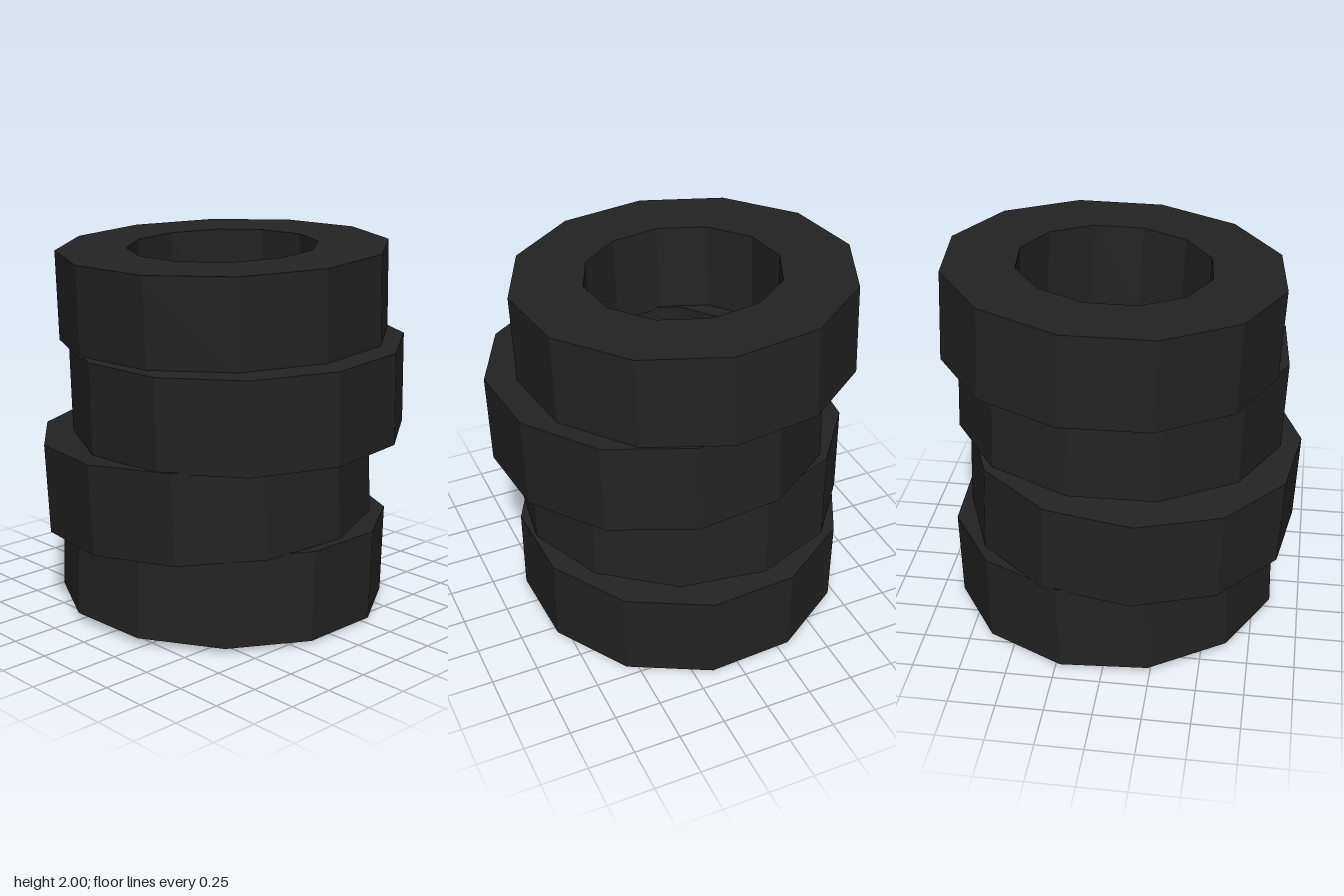
import * as THREE from 'three';

const SIDES = 12, OUTER = 0.895, INNER = 0.515, HALF = 0.2425;

// Square-section ring with flat facets; phase turns its corners, in degrees
function tireGeometry(phase) {
  const profile = [[INNER, -HALF], [OUTER, -HALF], [OUTER, HALF], [INNER, HALF], [INNER, -HALF]]
    .map(([r, y]) => new THREE.Vector2(r, y));
  const geometry = new THREE.LatheGeometry(profile, SIDES, -THREE.MathUtils.degToRad(phase)).toNonIndexed();
  geometry.computeVertexNormals();
  return geometry;
}

export function createModel() {
  const group = new THREE.Group();
  group.name = 'tireStack';

  const rubber = new THREE.MeshStandardMaterial({ color: 0x232323 });
  rubber.name = 'black rubber';
  const grey = new THREE.MeshStandardMaterial({ color: 0x404040 });
  grey.name = 'dark grey';

  // Loosely stacked tires: centre, corner phase, slope of the top along x and z
  const tires = [
    { name: 'bottomTire', at: [-0.045, 0.268, -0.035], phase: 12.5, slope: [-0.01, 0.023] },
    { name: 'lowerTire', at: [-0.08, 0.746, 0.06], phase: 23.5, slope: [0.014, -0.043] },
    { name: 'upperTire', at: [0.085, 1.235, -0.02], phase: 10.5, slope: [-0.015, -0.039] },
    { name: 'topTire', at: [-0.062, 1.715, -0.055], phase: 9, slope: [-0.018, -0.047] },
  ];
  const up = new THREE.Vector3(0, 1, 0);
  for (const { name, at, phase, slope } of tires) {
    const tire = new THREE.Mesh(tireGeometry(phase), rubber);
    tire.name = name;
    tire.position.set(...at);
    tire.quaternion.setFromUnitVectors(up, new THREE.Vector3(-slope[0], 1, -slope[1]).normalize());
    group.add(tire);
  }

  // Plate closing the well inside the bottom tire
  const plate = new THREE.Mesh(
    new THREE.CylinderGeometry(INNER, INNER, 0.01, SIDES, 1, false, -THREE.MathUtils.degToRad(12.5)), grey);
  plate.name = 'floorPlate';
  plate.position.y = -HALF + 0.075;
  group.children[0].add(plate);

  return group;
}
